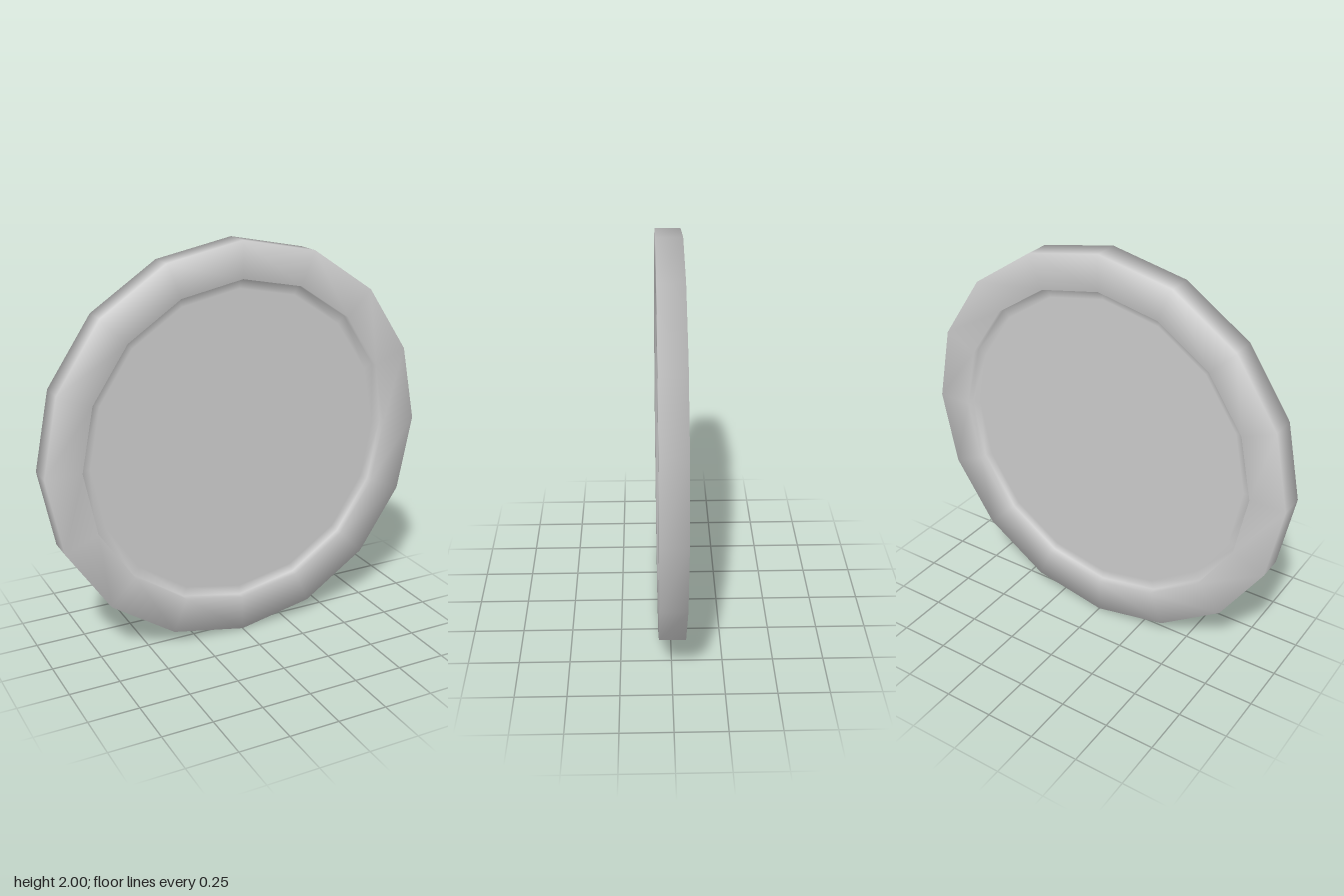
import * as THREE from 'three';

const SIDES = 16;
const HALF_DEPTH = 0.063; // raised rim
const PANEL_HALF = 0.025; // sunken centre panel

export function createModel() {
  const group = new THREE.Group();
  group.name = 'rimmedDisc';

  // Half section of one face, from the axis out to the outer edge
  const half = [
    [0, PANEL_HALF],
    [0.77, PANEL_HALF], // flat panel
    [0.82, PANEL_HALF], // foot of the rim's inner wall
    [0.82, HALF_DEPTH], // inner edge of the rim
    [1, HALF_DEPTH],    // outer edge of the rim
  ];
  const back = half.map(([r, h]) => new THREE.Vector2(r, -h));
  const front = half.map(([r, h]) => new THREE.Vector2(r, h)).reverse();

  // Smooth shaded 16-sided disc, identical on both faces
  const geometry = new THREE.LatheGeometry([...back, ...front], SIDES);
  geometry.rotateX(Math.PI / 2);

  const disc = new THREE.Mesh(geometry, new THREE.MeshStandardMaterial({ color: 0xcccccc }));
  disc.name = 'discWithRaisedRim';
  disc.position.y = 1;
  group.add(disc);
  return group;
}
